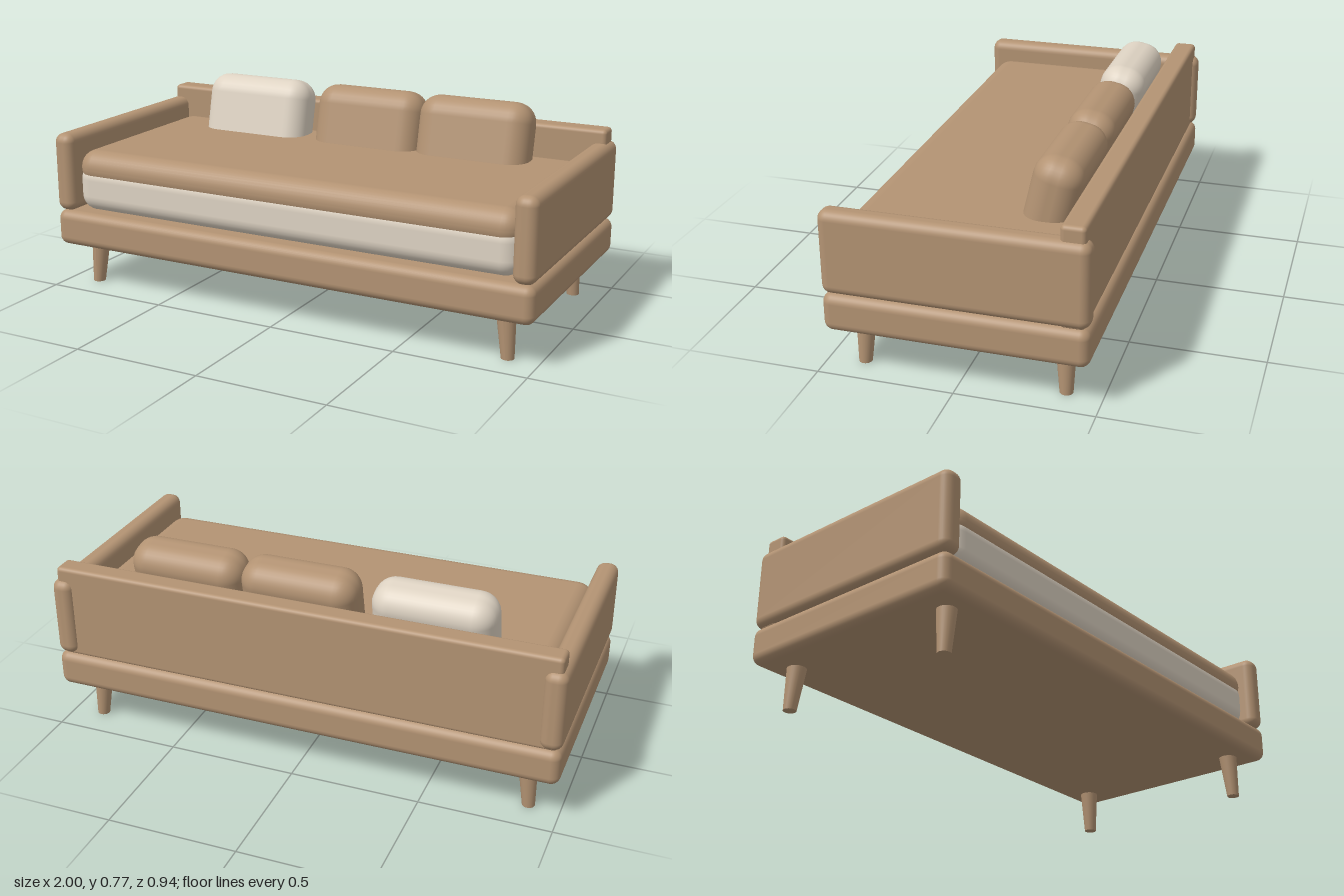
import * as THREE from 'three';
import { RoundedBoxGeometry } from 'three/addons/geometries/RoundedBoxGeometry.js';

export function createModel() {
  const sofa = new THREE.Group();
  sofa.name = 'sofa';
  const tan = new THREE.MeshStandardMaterial({ name: 'tan fabric', color: 0xb39373 });
  const cream = new THREE.MeshStandardMaterial({ name: 'cream fabric', color: 0xded3c3 });

  // Rounded block given by its extents on each axis
  function block(name, material, [x0, x1], [y0, y1], [z0, z1], radius) {
    const geometry = new RoundedBoxGeometry(x1 - x0, y1 - y0, z1 - z0, 4, radius);
    const mesh = new THREE.Mesh(geometry, material);
    mesh.name = name;
    mesh.position.set((x0 + x1) / 2, (y0 + y1) / 2, (z0 + z1) / 2);
    sofa.add(mesh);
    return mesh;
  }

  // Frame
  block('base', tan, [-1, 1], [0.165, 0.308], [-0.472, 0.472], 0.035);
  block('leftArm', tan, [0.915, 1], [0.308, 0.62], [-0.472, 0.472], 0.035);
  block('rightArm', tan, [-1, -0.915], [0.308, 0.62], [-0.472, 0.472], 0.035);
  block('backrest', tan, [-0.98, 0.98], [0.3, 0.672], [-0.452, -0.365], 0.016);

  // Seat in two layers
  block('lowerMattress', cream, [-0.925, 0.925], [0.305, 0.5], [-0.38, 0.433], 0.065);
  block('upperMattress', tan, [-0.925, 0.925], [0.41, 0.55], [-0.38, 0.433], 0.068);

  // Leaning cushions
  const cushions = [
    ['rightCushion', cream, -0.708, -0.241],
    ['middleCushion', tan, -0.188, 0.272],
    ['leftCushion', tan, 0.262, 0.724],
  ];
  for (const [name, material, x0, x1] of cushions) {
    const cushion = block(name, material, [x0, x1], [0.449, 0.769], [-0.348, -0.164], 0.08);
    cushion.position.z = -0.256;
    cushion.rotation.x = -0.225;
  }

  // Tapered legs, sheared slightly outwards towards the floor
  for (const sx of [1, -1]) {
    for (const sz of [1, -1]) {
      const geometry = new THREE.CylinderGeometry(0.037, 0.024, 0.18, 20);
      const p = geometry.attributes.position;
      for (let i = 0; i < p.count; i++) {
        const drop = (0.09 - p.getY(i)) / 0.18;
        p.setX(i, p.getX(i) + sx * 0.014 * drop);
        p.setZ(i, p.getZ(i) + sz * 0.006 * drop);
      }
      geometry.computeVertexNormals();
      const leg = new THREE.Mesh(geometry, tan);
      leg.name = (sz > 0 ? 'front' : 'back') + (sx > 0 ? 'Left' : 'Right') + 'Leg';
      leg.position.set(sx * 0.867, 0.09, sz * 0.362);
      sofa.add(leg);
    }
  }
  return sofa;
}
